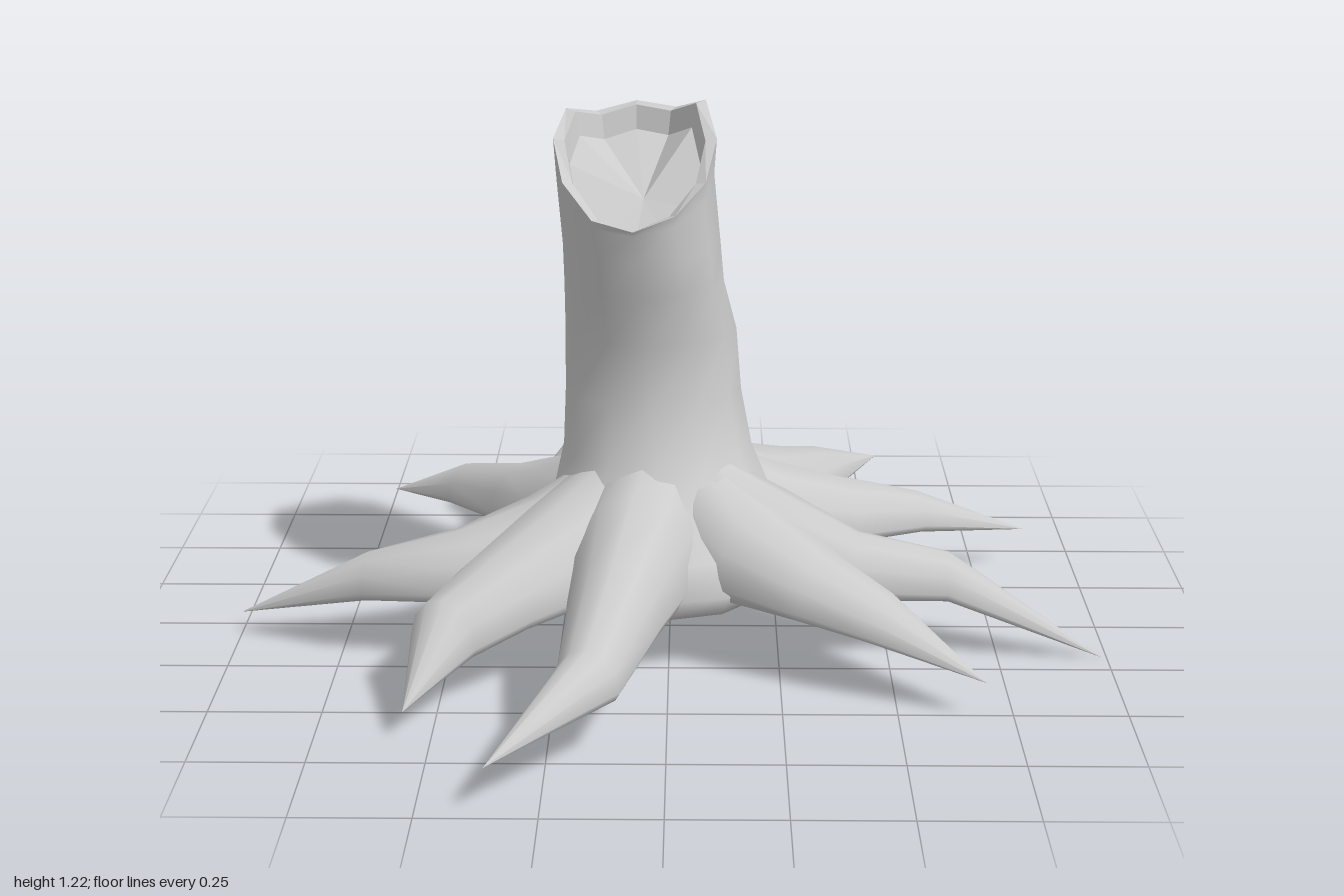
import * as THREE from 'three';

const SIDES = 12;
const material = new THREE.MeshStandardMaterial({ color: 0xcccccc, side: THREE.DoubleSide });
const flatMaterial = material.clone();
flatMaterial.flatShading = true;

// Skin a list of closed rings (each an array of [x, y, z])
function loft(name, rings, mat = material) {
  const n = rings[0].length, index = [];
  for (let j = 0; j < rings.length - 1; j++) {
    for (let i = 0; i < n; i++) {
      const k = (i + 1) % n;
      const a = j * n + i, b = j * n + k, c = a + n, d = b + n;
      index.push(a, c, b, b, c, d);
    }
  }
  const geometry = new THREE.BufferGeometry();
  geometry.setAttribute('position', new THREE.Float32BufferAttribute(rings.flat(2), 3));
  geometry.setIndex(index);
  geometry.computeVertexNormals();
  const mesh = new THREE.Mesh(geometry, mat);
  mesh.name = name;
  return mesh;
}

const ring = (fn) => Array.from({ length: SIDES }, (_, i) => {
  const a = (i / SIDES) * Math.PI * 2;
  return fn(Math.cos(a), Math.sin(a), i);
});

// Jagged, slanted height of the broken top, starting at +x and passing the front
const RIM = [1.15, 1.07, 1.01, 0.98, 1.0, 1.07, 1.15, 1.2, 1.18, 1.2, 1.19, 1.22];
const rimRing = (scale, drop, lift = 1) => ring((c, s, i) => [
  -0.08 + 0.185 * c * scale, 0.95 + (RIM[i] - 0.95) * lift - drop, -0.08 + 0.2 * s * scale]);

function trunk() {
  // y, centre x, centre z, radius x, radius z
  const levels = [
    [0.14, -0.02, -0.03, 0, 0],
    [0.13, -0.02, -0.03, 0.28, 0.32],
    [0.18, -0.02, -0.03, 0.31, 0.35],
    [0.25, -0.02, -0.04, 0.29, 0.32],
    [0.33, -0.02, -0.08, 0.25, 0.26],
    [0.42, -0.03, -0.11, 0.22, 0.22],
    [0.55, -0.04, -0.12, 0.205, 0.175],
    [0.7, -0.045, -0.105, 0.198, 0.157],
    [0.82, -0.06, -0.08, 0.183, 0.163],
    [0.91, -0.065, -0.068, 0.18, 0.168],
  ];
  const rings = levels.map(([y, x, z, rx, rz]) => ring((c, s) => [x + rx * c, y, z + rz * s]));
  rings.push(rimRing(0.97, 0, 0.6), rimRing(1, 0));
  return loft('trunk', rings);
}

// Broken rim, inner wall and sunken heartwood
function brokenTop() {
  const heart = ring(() => [-0.06, 1.02, -0.04]);
  return loft('brokenTop', [rimRing(1, 0), rimRing(0.86, 0.005), rimRing(0.8, 0.06), heart], flatMaterial);
}

// Each root: stations of centre x, centre z, top, bottom, half width
const ROOTS = {
  backRoot: [[-0.07, -0.18, 0.44, 0.15, 0.12], [-0.18, -0.33, 0.35, 0.14, 0.14],
    [-0.235, -0.45, 0.29, 0.14, 0.1], [-0.25, -0.64, 0.25, 0.14, 0.055], [-0.26, -0.99, 0.1, 0.1, 0]],
  backLeftRoot: [[0.04, -0.15, 0.44, 0.14, 0.16], [0.17, -0.32, 0.35, 0.13, 0.18],
    [0.27, -0.47, 0.29, 0.13, 0.135], [0.36, -0.62, 0.24, 0.13, 0.09], [0.54, -0.9, 0.12, 0.12, 0]],
  leftBackRoot: [[0.06, -0.12, 0.43, 0.14, 0.14], [0.26, -0.2, 0.34, 0.13, 0.16],
    [0.42, -0.26, 0.28, 0.13, 0.12], [0.6, -0.31, 0.23, 0.13, 0.065], [0.88, -0.42, 0.09, 0.09, 0]],
  leftRoot: [[0.06, 0, 0.45, 0.14, 0.14], [0.25, 0.07, 0.36, 0.13, 0.15],
    [0.43, 0.125, 0.28, 0.13, 0.105], [0.64, 0.115, 0.23, 0.12, 0.07], [0.99, 0.18, 0, 0, 0]],
  frontLeftRoot: [[0.05, 0.01, 0.44, 0.14, 0.14], [0.21, 0.14, 0.35, 0.13, 0.16],
    [0.35, 0.26, 0.27, 0.13, 0.115], [0.47, 0.35, 0.22, 0.12, 0.085], [0.69, 0.51, 0.08, 0.08, 0]],
  frontRoot: [[-0.04, -0.02, 0.46, 0.14, 0.16], [-0.08, 0.2, 0.39, 0.13, 0.15],
    [-0.115, 0.4, 0.32, 0.12, 0.11], [-0.165, 0.69, 0.23, 0.11, 0.075], [-0.36, 0.98, 0.1, 0.1, 0]],
  frontRightRoot: [[-0.1, -0.02, 0.45, 0.14, 0.15], [-0.26, 0.16, 0.35, 0.13, 0.16],
    [-0.39, 0.3, 0.28, 0.12, 0.125], [-0.49, 0.42, 0.23, 0.09, 0.085], [-0.56, 0.63, 0.06, 0.06, 0]],
  rightRoot: [[-0.1, -0.02, 0.45, 0.14, 0.15], [-0.3, 0.07, 0.34, 0.13, 0.16],
    [-0.48, 0.12, 0.28, 0.12, 0.12], [-0.69, 0.125, 0.23, 0.12, 0.07], [-1, 0.05, 0.05, 0.05, 0]],
  backRightRoot: [[-0.1, -0.12, 0.44, 0.14, 0.14], [-0.27, -0.24, 0.34, 0.13, 0.14],
    [-0.37, -0.36, 0.28, 0.13, 0.1], [-0.52, -0.5, 0.23, 0.13, 0.075], [-0.71, -0.59, 0.13, 0.13, 0]],
};

// Tapering root: rounded on top, flatter underneath
function root(name, stations) {
  const rings = stations.map(([x, z, top, bottom, w], j) => {
    const p = stations[Math.max(j - 1, 0)], q = stations[Math.min(j + 1, stations.length - 1)];
    const len = Math.hypot(q[0] - p[0], q[1] - p[1]);
    const sx = -(q[1] - p[1]) / len, sz = (q[0] - p[0]) / len;
    const mid = bottom + 0.3 * (top - bottom);
    return ring((c, s) => [x + sx * w * c, mid + s * (s > 0 ? top - mid : mid - bottom), z + sz * w * c]);
  });
  return loft(name, rings);
}

// Cut branch curling upwards at the back, ending in a small pit
function branchStub() {
  // x, y, z, radius, pitch
  const stations = [
    [-0.03, 0.56, -0.15, 0.18, 0.25], [-0.02, 0.575, -0.27, 0.145, 0.3],
    [-0.01, 0.61, -0.35, 0.11, 0.5], [0, 0.65, -0.415, 0.096, 0.75],
    [0, 0.7, -0.45, 0.086, 1.1], [0, 0.75, -0.458, 0.083, 1.35],
    [0, 0.79, -0.463, 0.07, 1.45], [0.005, 0.817, -0.465, 0.042, 1.5],
    [0.008, 0.81, -0.465, 0.028, 1.5], [0.01, 0.78, -0.465, 0, 1.5],
  ];
  return loft('branchStub', stations.map(([x, y, z, r, t]) => ring((c, s) => [
    x + r * c, y + r * s * Math.cos(t), z + r * s * Math.sin(t)])));
}

export function createModel() {
  const group = new THREE.Group();
  group.name = 'treeStump';
  group.add(trunk(), brokenTop(), branchStub());
  for (const [name, stations] of Object.entries(ROOTS)) group.add(root(name, stations));
  return group;
}
